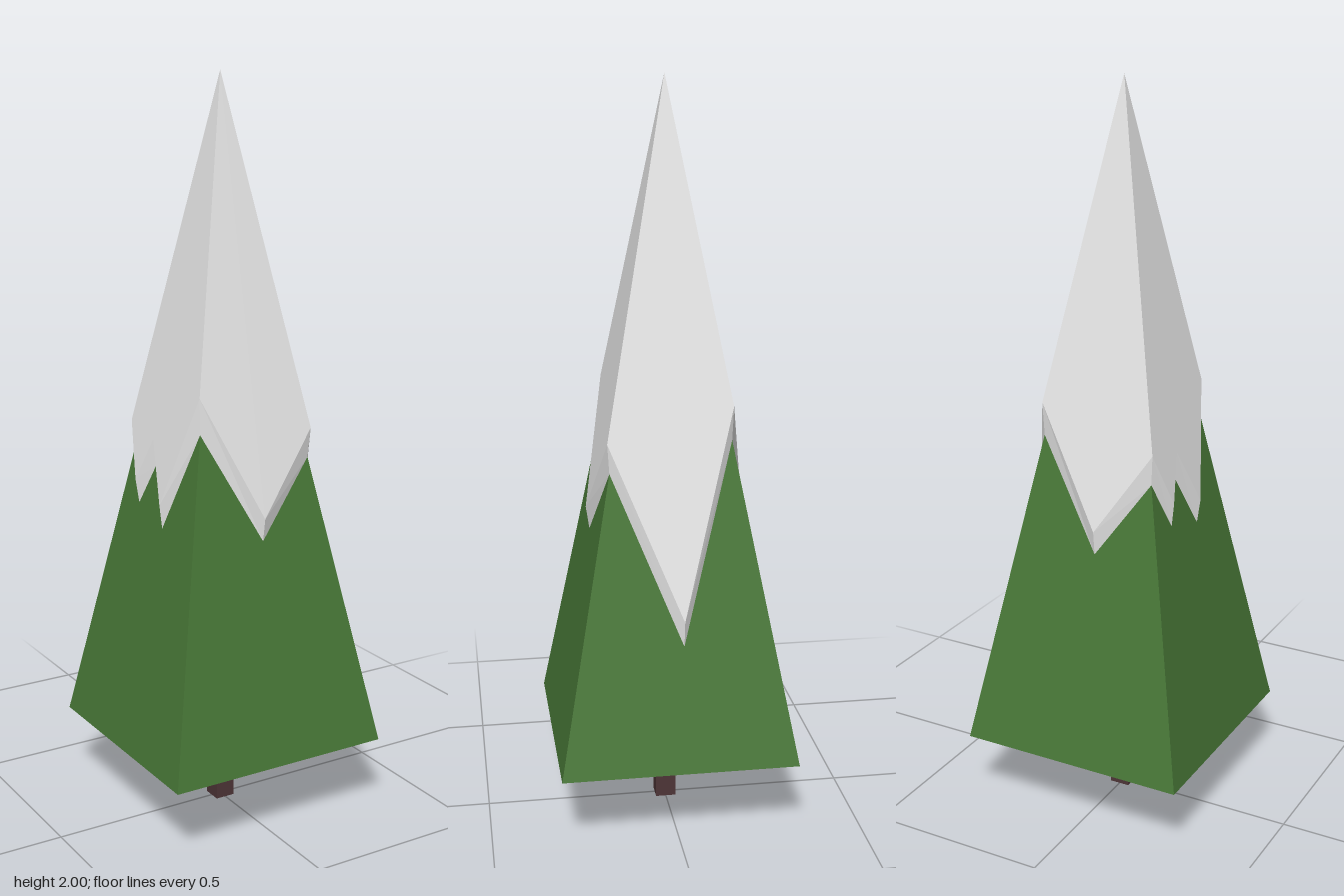
import * as THREE from 'three';

const green = new THREE.MeshStandardMaterial({ name: 'pine green', color: 0x487837 });
const white = new THREE.MeshStandardMaterial({ name: 'snow white', color: 0xe9e9e9 });
const brown = new THREE.MeshStandardMaterial({ name: 'bark brown', color: 0x4e3537 });

const BASE_Y = 0.215, BASE_HALF = 0.317;
const TREE_TOP = 1.9, SNOW_TOP = 2, SNOW_SLOPE = 0.19;

// Unshared corners give every face its own flat normal
function addPart(group, name, geometry, material) {
  const flat = geometry.index ? geometry.toNonIndexed() : geometry;
  flat.computeVertexNormals();
  const mesh = new THREE.Mesh(flat, material);
  mesh.name = name;
  group.add(mesh);
}

// Square cap with a jagged rim and a short skirt that meets the foliage
function snowGeometry() {
  // x, z of the rim and how far the skirt drops, anticlockwise from above
  const rim = [
    [-0.153, 0.153, 0.095], [0.007, 0.215, 0.062], [0.174, 0.174, 0.08],
    [0.262, -0.015, 0.07], [0.158, -0.158, 0.09], [-0.025, -0.217, 0.065],
    [-0.175, -0.175, 0.08], [-0.203, -0.105, 0.065], [-0.18, -0.045, 0.075],
    [-0.21, 0.04, 0.065],
  ];
  const foliageSlope = BASE_HALF / (TREE_TOP - BASE_Y);
  const apex = [0, SNOW_TOP, 0];
  const upper = [], lower = [];
  for (const [x, z, drop] of rim) {
    const half = Math.max(Math.abs(x), Math.abs(z));
    const y = SNOW_TOP - half / SNOW_SLOPE;
    const s = foliageSlope * (TREE_TOP - (y - drop)) / half;
    upper.push([x, y, z]);
    lower.push([x * s, y - drop, z * s]);
  }
  const points = [];
  for (let i = 0; i < rim.length; i++) {
    const j = (i + 1) % rim.length;
    points.push(...apex, ...upper[i], ...upper[j]);
    points.push(...upper[i], ...lower[i], ...lower[j]);
    points.push(...upper[i], ...lower[j], ...upper[j]);
  }
  const geometry = new THREE.BufferGeometry();
  geometry.setAttribute('position', new THREE.Float32BufferAttribute(points, 3));
  return geometry;
}

export function createModel() {
  const tree = new THREE.Group();
  tree.name = 'snowyPine';

  // Trunk
  const trunkHeight = BASE_Y + 0.02;
  addPart(tree, 'trunk',
    new THREE.BoxGeometry(0.056, trunkHeight, 0.056).translate(0, trunkHeight / 2, 0), brown);

  // Foliage: four-sided pyramid
  const height = TREE_TOP - BASE_Y;
  addPart(tree, 'foliage',
    new THREE.ConeGeometry(BASE_HALF * Math.SQRT2, height, 4)
      .rotateY(Math.PI / 4).translate(0, BASE_Y + height / 2, 0), green);

  // Snow
  addPart(tree, 'snowCap', snowGeometry(), white);
  return tree;
}
